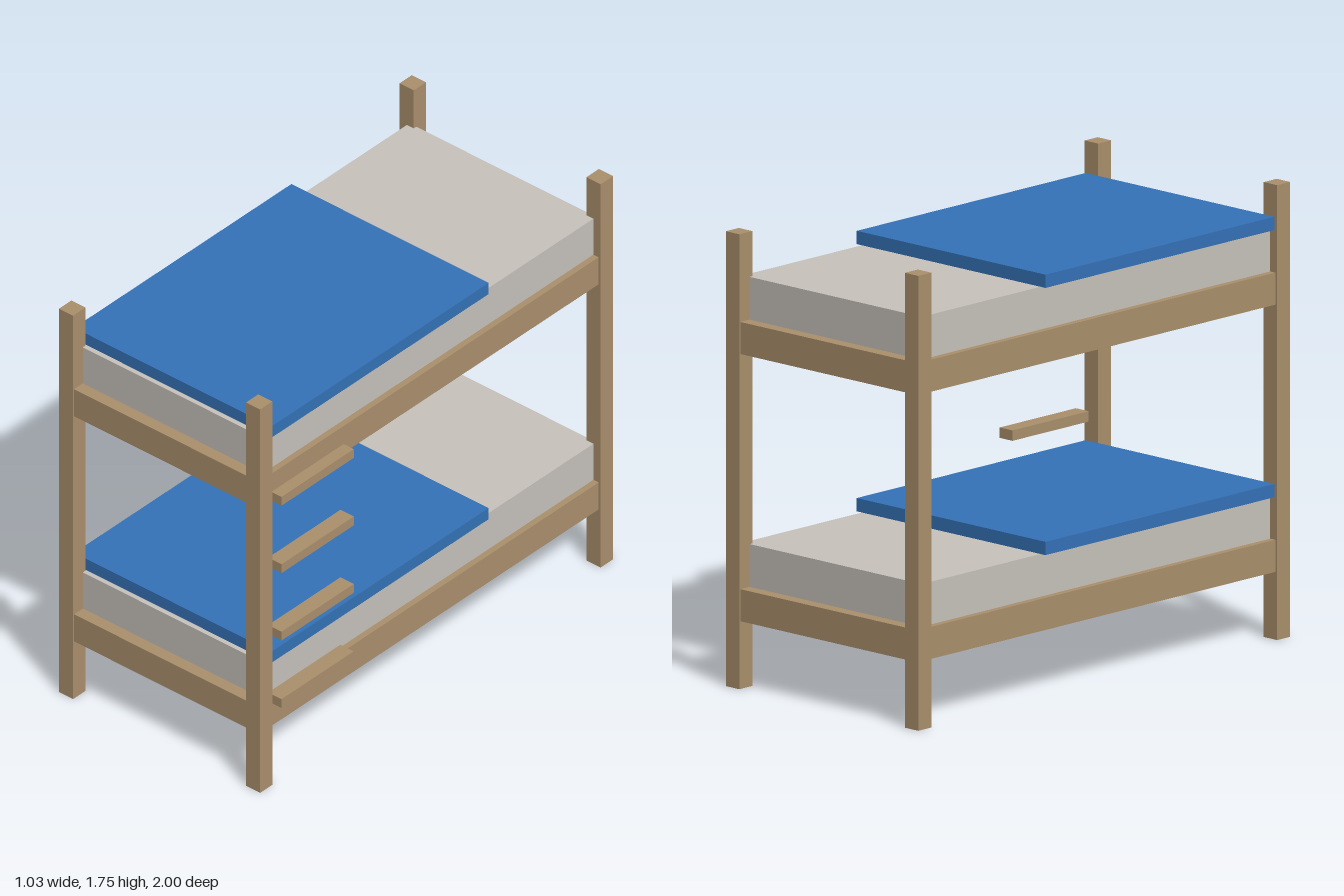
import * as THREE from 'three';

export function createModel() {
  const wood = new THREE.MeshStandardMaterial({ name: 'wood', color: 0xac916d });
  const linen = new THREE.MeshStandardMaterial({ name: 'linen', color: 0xc9c4bd });
  const blue = new THREE.MeshStandardMaterial({ name: 'blanketBlue', color: 0x3573b9 });

  const model = new THREE.Group();
  model.name = 'bunkBed';

  // Box given by its extents along each axis
  function box(name, material, [x0, x1], [y0, y1], [z0, z1], parent = model) {
    const mesh = new THREE.Mesh(new THREE.BoxGeometry(x1 - x0, y1 - y0, z1 - z0), material);
    mesh.position.set((x0 + x1) / 2, (y0 + y1) / 2, (z0 + z1) / 2);
    mesh.name = name;
    parent.add(mesh);
  }

  // Corner posts
  for (const x of [[-0.517, -0.447], [0.406, 0.476]])
    for (const z of [[-1, -0.93], [0.93, 1]])
      box('cornerPost', wood, x, [0, 1.745], z);

  // Two bunks: solid frame, mattress and folded-back blanket
  [['lowerBunk', 0.26], ['upperBunk', 1.285]].forEach(([name, y]) => {
    const bunk = new THREE.Group();
    bunk.name = name;
    model.add(bunk);
    box('bedFrame', wood, [-0.507, 0.466], [y, y + 0.123], [-0.995, 0.995], bunk);
    box('mattress', linen, [-0.481, 0.44], [y + 0.123, y + 0.287], [-0.945, 0.945], bunk);
    box('blanket', blue, [-0.507, 0.466], [y + 0.287, y + 0.338], [-0.306, 0.925], bunk);
  });

  // Ladder rungs beside the front left post
  for (let i = 0; i < 4; i++) {
    const y = 0.365 + i * 0.307;
    box('ladderRung', wood, [0.45, 0.516], [y, y + 0.04], [0.515, 0.925]);
  }

  return model;
}
